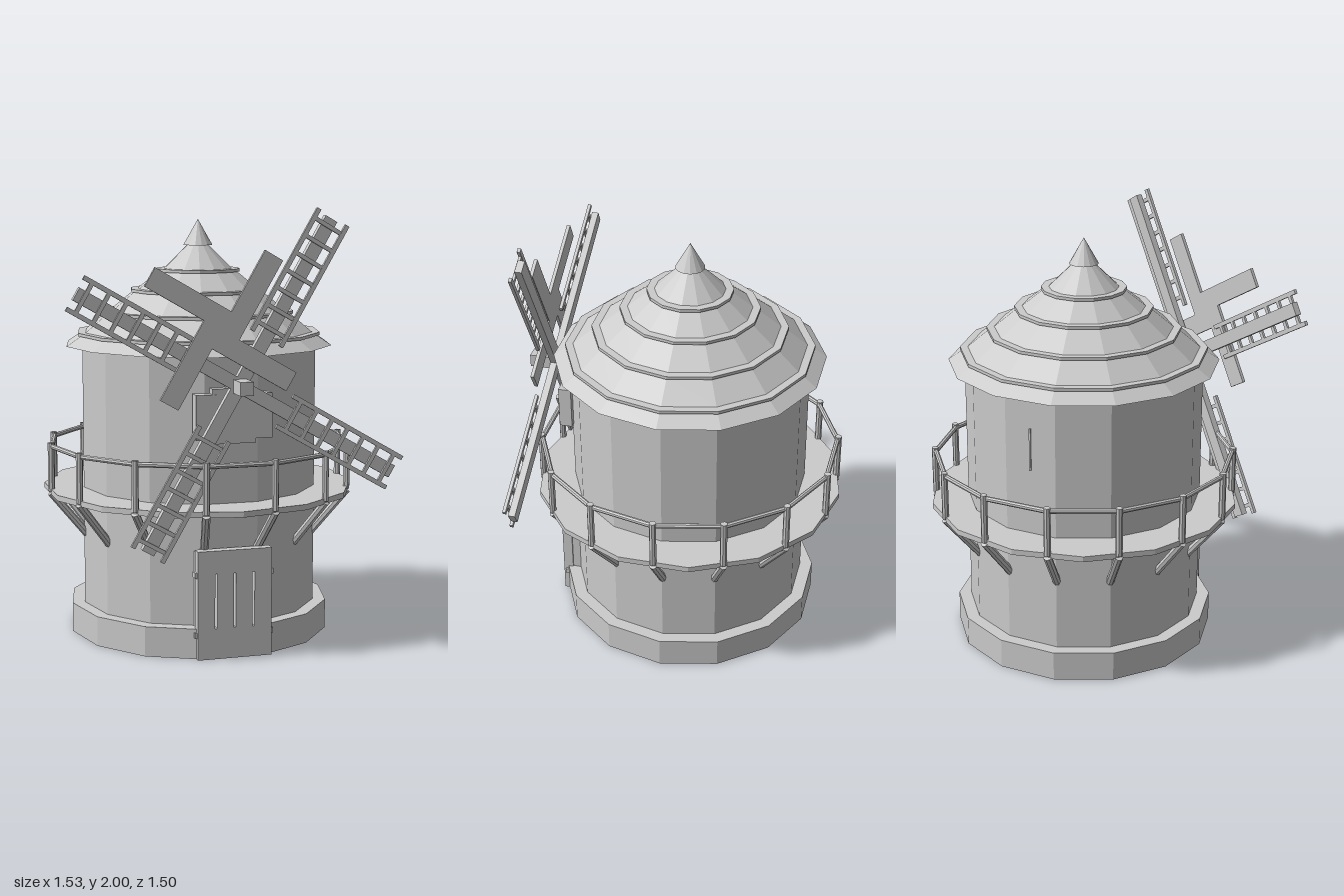
import * as THREE from 'three';

const SIDES = 14;
const STEP = (Math.PI * 2) / SIDES;
const CZ = -0.02; // tower axis

export function createModel() {
  const model = new THREE.Group();
  const mat = new THREE.MeshStandardMaterial({ color: 0xcccccc, flatShading: true, side: THREE.DoubleSide });

  const add = (parent, name, geo, x = 0, y = 0, z = 0) => {
    const m = new THREE.Mesh(geo, mat);
    m.name = name;
    m.position.set(x, y, z);
    parent.add(m);
    return m;
  };
  const box = (parent, name, w, h, d, x, y, z) => add(parent, name, new THREE.BoxGeometry(w, h, d), x, y, z);
  const group = (name, x = 0, y = 0, z = 0) => {
    const g = new THREE.Group();
    g.name = name;
    g.position.set(x, y, z);
    model.add(g);
    return g;
  };
  // Round bar between two points
  const bar = (parent, name, a, b, r) => {
    const dir = b.clone().sub(a);
    const m = add(parent, name, new THREE.CylinderGeometry(r, r, dir.length(), 8));
    m.position.copy(a).lerp(b, 0.5);
    m.quaternion.setFromUnitVectors(new THREE.Vector3(0, 1, 0), dir.normalize());
  };
  const polar = (r, a, y) => new THREE.Vector3(r * Math.sin(a), y, r * Math.cos(a));
  const drum = (parent, name, r, y0, y1, start) =>
    add(parent, name, new THREE.CylinderGeometry(r, r, y1 - y0, SIDES, 1, false, start), 0, (y0 + y1) / 2, 0);

  // Tower body and plinth
  const tower = group('tower', 0, 0, CZ);
  drum(tower, 'plinth', 0.615, 0, 0.138, STEP / 2);
  drum(tower, 'wall', 0.555, 0.1, 1.37, STEP / 2);

  // Narrow window slit on a rear facet
  const slit = box(tower, 'rearSlit', 0.008, 0.2, 0.02, 0, 1.1, 0);
  slit.position.copy(polar(0.537, Math.PI + STEP, 1.1));
  slit.rotation.y = Math.PI + STEP;

  // Stepped roof with a lip under each tier
  const profile = [[0, 1.355], [0.63, 1.355], [0.56, 1.402]];
  const tiers = [[0.575, 1.402], [0.45, 1.5], [0.32, 1.6], [0.197, 1.693]];
  tiers.forEach(([r, y], i) => {
    const next = tiers[i + 1];
    profile.push([r, y], [r, y + 0.014], [r - 0.036, y + 0.014]);
    profile.push(next ? [next[0] - 0.012, next[1]] : [0.04, 1.825]);
  });
  profile.push([0, 1.825]);
  const roofGeo = new THREE.LatheGeometry(profile.map(([r, y]) => new THREE.Vector2(r, y)), SIDES, STEP / 2);
  add(tower, 'roof', roofGeo);
  add(tower, 'finial', new THREE.CylinderGeometry(0, 0.068, 0.12, SIDES), 0, 1.875, 0);

  // Balcony: deck, posts, handrail and braces
  const balcony = group('balcony', 0, 0, CZ);
  drum(balcony, 'deck', 0.73, 0.667, 0.693, 0);
  for (let i = 0; i < SIDES; i++) {
    const a = (i + 0.5) * STEP;
    bar(balcony, 'post', polar(0.708, a, 0.68), polar(0.708, a, 0.91), 0.016);
    bar(balcony, 'handrail', polar(0.704, a, 0.892), polar(0.704, a + STEP, 0.892), 0.012);
    bar(balcony, 'brace', polar(0.71, a, 0.675), polar(0.53, a, 0.455), 0.019);
  }

  // Plank door with slots between the boards
  const door = group('door');
  const panel = new THREE.Shape();
  panel.moveTo(-0.172, 0).lineTo(0.172, 0).lineTo(0.172, 0.495).lineTo(-0.172, 0.495).closePath();
  for (const x of [-0.087, 0, 0.087]) {
    const hole = new THREE.Path();
    hole.moveTo(x - 0.005, 0.14).lineTo(x - 0.005, 0.39).lineTo(x + 0.005, 0.39).lineTo(x + 0.005, 0.14).closePath();
    panel.holes.push(hole);
  }
  add(door, 'planks', new THREE.ExtrudeGeometry(panel, { depth: 0.047, bevelEnabled: false }), 0, 0, 0.54);
  box(door, 'backing', 0.33, 0.48, 0.05, 0, 0.24, 0.525);
  for (const x of [-0.172, 0.172]) {
    for (const y of [0.11, 0.385]) box(door, 'hinge', 0.02, 0.025, 0.04, x, y, 0.557);
  }

  // Notched board behind the axle
  const mount = group('axleMount');
  box(mount, 'mountBoard', 0.35, 0.2, 0.06, 0, 1.09, 0.54);
  box(mount, 'mountTrim', 0.2, 0.245, 0.06, 0, 1.0925, 0.538);
  box(mount, 'axle', 0.06, 0.06, 0.25, 0, 1.235, 0.625);

  // Four lattice sails turning about the axle
  const sails = group('sails', 0, 1.235, 0);
  for (let i = 0; i < 4; i++) {
    const sail = new THREE.Group();
    sail.name = 'sail';
    sail.rotation.z = -Math.PI / 6 + (i * Math.PI) / 2;
    sails.add(sail);
    box(sail, 'spar', 0.06, 0.826, 0.032, 0, 0.413, 0.631);
    for (const s of [-1, 1]) box(sail, 'sailRail', 0.02, 0.6, 0.015, s * 0.075, 0.534, 0.652);
    for (let k = 0; k < 7; k++) box(sail, 'rung', 0.15, 0.018, 0.012, 0, 0.28 + k * 0.085, 0.652);
  }

  // Offset boards forming the pinwheel cross in front of the sails
  const cross = group('crossBoards', -0.09, 1.482, 0);
  for (let i = 0; i < 4; i++) {
    const arm = new THREE.Group();
    arm.name = 'crossArm';
    arm.rotation.z = -Math.PI / 6 + (i * Math.PI) / 2;
    cross.add(arm);
    box(arm, 'board', 0.092, 0.39, 0.016, 0.044, 0.195, 0.667);
  }

  return model;
}
